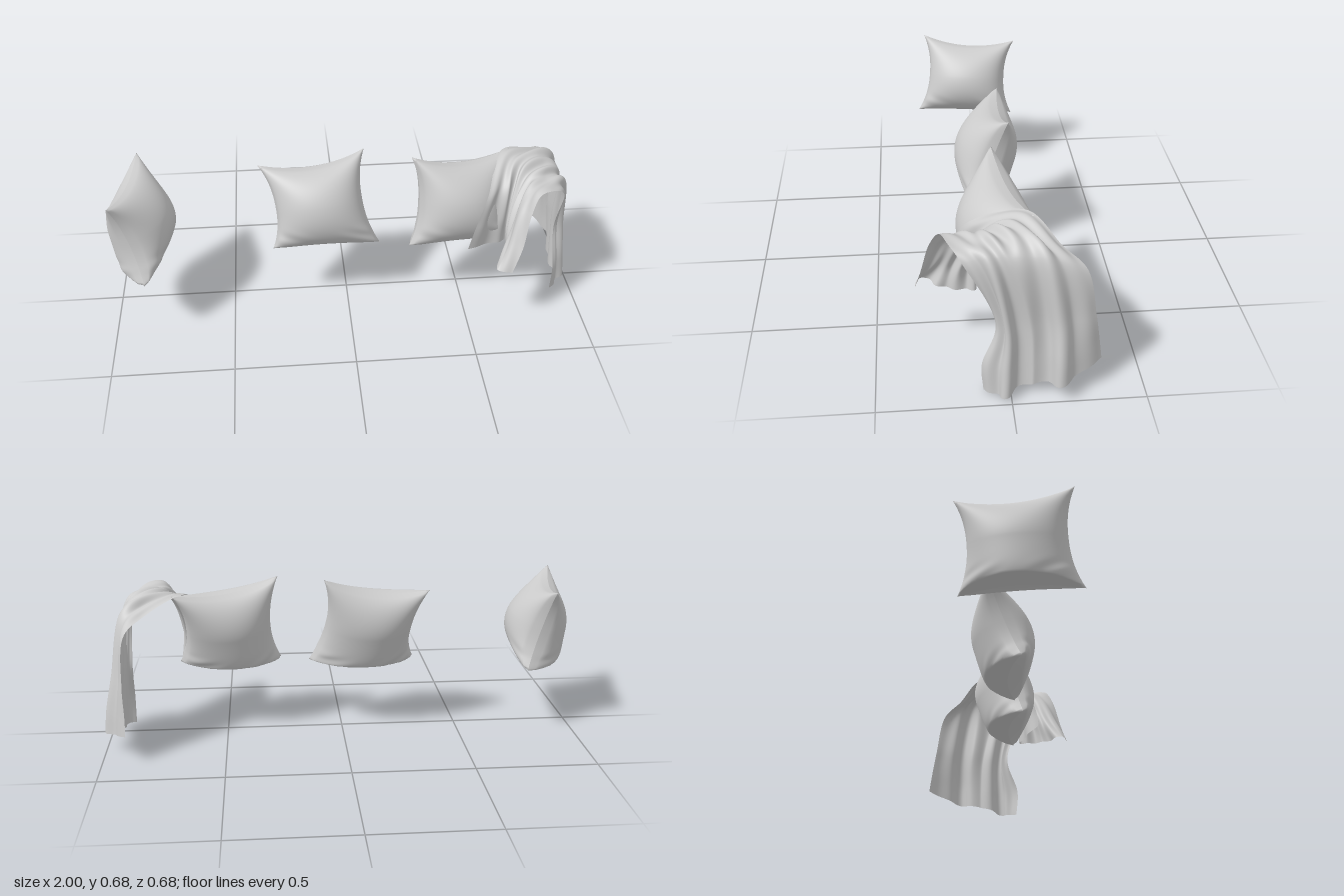
import * as THREE from 'three';

const FLOOR = 0.288;
const material = new THREE.MeshStandardMaterial({ color: 0xcccccc });
const clothMaterial = new THREE.MeshStandardMaterial({ color: 0xcccccc, side: THREE.DoubleSide });

// Plane whose vertices are moved by fn(u, v), with u and v in -1..1
function surface(nu, nv, fn) {
  const geo = new THREE.PlaneGeometry(2, 2, nu, nv);
  const pos = geo.attributes.position;
  for (let i = 0; i < pos.count; i++) {
    const p = fn(pos.getX(i), pos.getY(i));
    pos.setXYZ(i, p.x, p.y, p.z);
  }
  geo.computeVertexNormals();
  return geo;
}

// Cushion: two domed faces meeting at a pinched seam between four corners
function cushion(name, corners, half, sag, slumpDepth, phase) {
  const [tl, tr, bl, br] = corners.map(c => new THREE.Vector3(...c));
  const mid = (a, b) => a.clone().add(b).multiplyScalar(0.5);
  const across = mid(tr, br).sub(mid(tl, bl));
  const up = mid(tl, tr).sub(mid(bl, br));
  const normal = across.cross(up).normalize();
  const group = new THREE.Group();
  group.name = name;

  for (const side of [1, -1]) {
    const geo = surface(56, 56, (u0, v) => {
      const u = u0 * side;
      const pinchV = v > 0 ? 0.21 : 0.03;
      const a = (u * (1 - 0.19 * (1 - Math.pow(Math.abs(v), 2.3))) + 1) / 2;
      const b = (v * (1 - pinchV * (1 - u * u)) + 1) / 2;
      const p = bl.clone().lerp(br, a).lerp(tl.clone().lerp(tr, a), b);
      // The lower half is fuller, and its middle slumps back between the corners
      const dome = Math.pow(1 - u * u, 0.47) * Math.pow(1 - v * v, v > 0 ? 0.5 : 0.3);
      const slump = v < 0 ? slumpDepth * v * v * (1 - u * u) : 0;
      // Soft creases near the bottom corners
      const low = Math.exp(-Math.pow((v + 0.75) / 0.16, 2)) * u * u;
      const crease = 0.014 * low * Math.sin(9 * u + 14 * v + phase);
      p.addScaledVector(normal, side * dome * (half * (1 - sag * v) + crease) - slump);
      p.y = Math.max(p.y, FLOOR);
      return p;
    });
    const mesh = new THREE.Mesh(geo, material);
    mesh.name = side > 0 ? 'cushionFront' : 'cushionBack';
    group.add(mesh);
  }
  return group;
}

// Throw: rows run from the seat hem, over the armrest, to the hanging hem;
// each row goes from the front edge to the back edge
const throwRows = [
  [.66, .295, .34, .60, .30, .32, .66, .295, .23, .68, .295, .12, .50, .32, .195],
  [.70, .40, .315, .65, .40, .27, .67, .40, .19, .675, .41, .115, .53, .42, .18],
  [.73, .54, .28, .70, .53, .22, .71, .53, .13, .69, .54, .075, .58, .53, .13],
  [.77, .61, .245, .75, .60, .18, .76, .61, .08, .73, .62, .00, .67, .63, -.08],
  [.84, .61, .215, .82, .605, .14, .83, .62, .04, .83, .62, -.08, .82, .57, -.19],
  [.89, .56, .17, .90, .58, .09, .90, .58, .00, .905, .57, -.13, .89, .515, -.27],
  [.905, .30, .055, .945, .30, .02, .92, .30, -.07, .95, .32, -.18, .905, .32, -.31],
  [.91, .12, .106, .965, .12, .025, .93, .14, -.08, .98, .17, -.185, .90, .19, -.33],
  [.91, 0, .10, .975, .015, .03, .935, .045, -.08, .99, .07, -.185, .90, .115, -.34],
];

function throwBlanket() {
  const rows = throwRows.map(r => new THREE.CatmullRomCurve3(
    [0, 3, 6, 9, 12].map(i => new THREE.Vector3(r[i], r[i + 1], r[i + 2])), false, 'centripetal'));
  const nu = 100, nv = 90;
  const columns = [];
  for (let i = 0; i <= nu; i++) {
    columns.push(new THREE.CatmullRomCurve3(rows.map(c => c.getPoint(i / nu)), false, 'centripetal'));
  }
  const geo = surface(nu, nv, (u, v) =>
    columns[Math.round((u + 1) / 2 * nu)].getPoint((1 - v) / 2));

  // Lengthwise folds: fine and bunched on the seat side, broad where it hangs
  const pos = geo.attributes.position, nor = geo.attributes.normal;
  for (let i = 0; i < pos.count; i++) {
    const t = (i % (nu + 1)) / nu;
    const s = Math.floor(i / (nu + 1)) / nv;
    const fade = Math.min(1, 6 * t, 6 * (1 - t));
    const hang = THREE.MathUtils.smoothstep(s, 0.5, 0.75);
    const bunched = THREE.MathUtils.smoothstep(t, 0.2, 0.5);
    const fine = 0.009 * bunched * Math.sin(40 * t + 5 * s) + 0.004 * Math.sin(23 * t - 17 * s);
    const broad = 0.014 * Math.sin(27 * t + 0.5);
    const d = fade * THREE.MathUtils.lerp(fine, broad, hang);
    pos.setXYZ(i, pos.getX(i) + d * nor.getX(i),
      Math.max(0, pos.getY(i) + d * nor.getY(i)), pos.getZ(i) + d * nor.getZ(i));
  }
  geo.computeVertexNormals();
  const mesh = new THREE.Mesh(geo, clothMaterial);
  mesh.name = 'throwBlanket';
  return mesh;
}

export function createModel() {
  const model = new THREE.Group();
  model.name = 'cushionsAndThrow';
  // Corners: top left, top right, bottom left, bottom right as seen from the cushion's face
  model.add(
    cushion('sideCushion',
      [[-.96, .648, .25], [-.88, .635, -.19], [-.85, .29, .29], [-.78, .29, -.17]], 0.13, 0.22, 0.055, 0),
    cushion('middleCushion',
      [[-.37, .625, -.06], [.08, .68, -.07], [-.32, .29, .08], [.14, .288, .07]], 0.132, 0.08, 0.045, 2),
    cushion('drapedCushion',
      [[.27, .68, .02], [.71, .63, -.10], [.26, .29, .11], [.70, .29, .08]], 0.135, 0.08, 0.045, 4),
    throwBlanket(),
  );
  return model;
}
